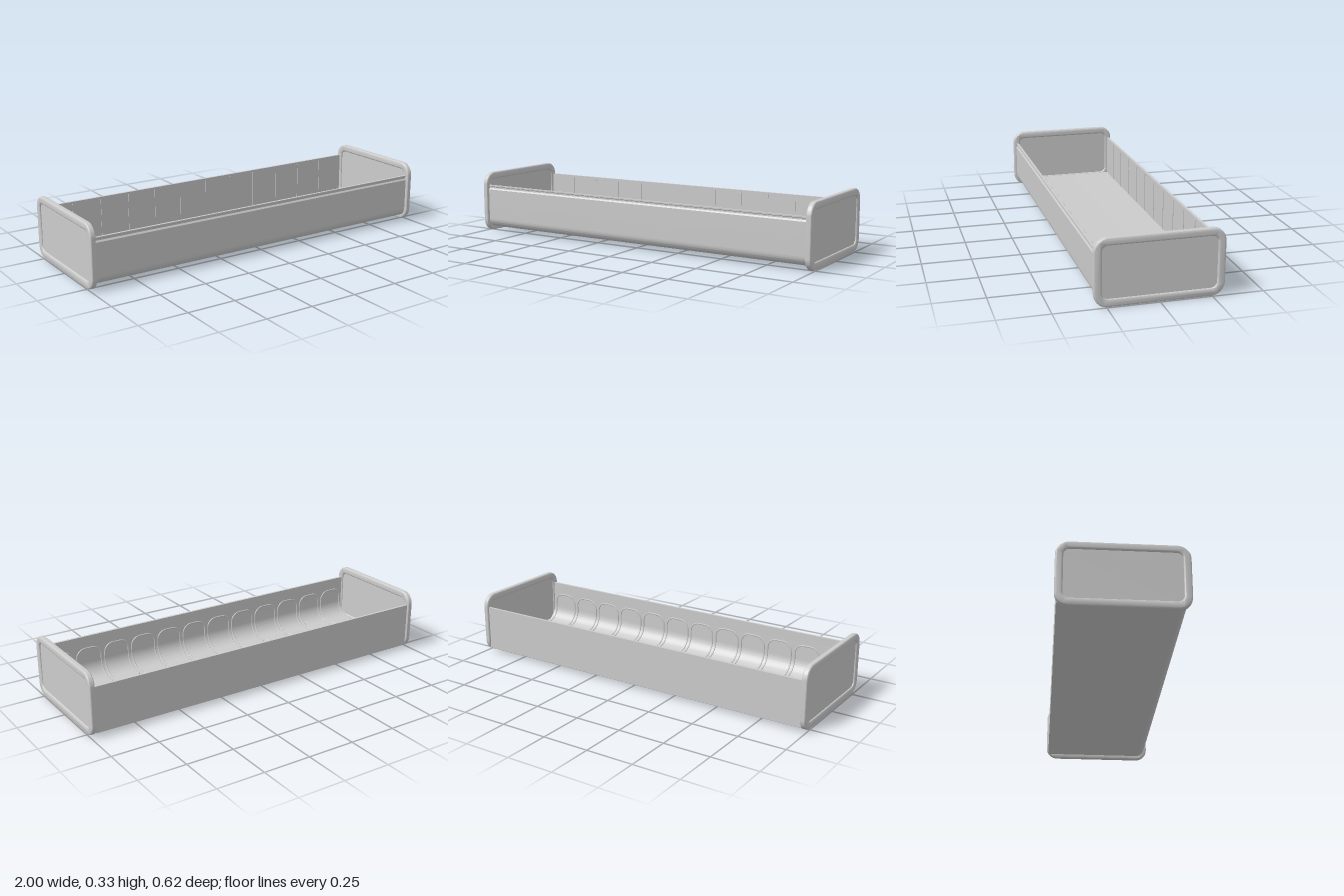
import * as THREE from 'three';
import { toCreasedNormals } from 'three/addons/utils/BufferGeometryUtils.js';

const material = new THREE.MeshStandardMaterial({ color: 0xcccccc });

function addMesh(parent, name, geometry) {
  const mesh = new THREE.Mesh(geometry, material);
  mesh.name = name;
  parent.add(mesh);
  return mesh;
}

// Rounded rectangle centred on x, from y0 to y1
function roundedRect(halfWidth, y0, y1, r, Type = THREE.Shape) {
  const s = new Type();
  s.absarc(halfWidth - r, y0 + r, r, -Math.PI / 2, 0);
  s.absarc(halfWidth - r, y1 - r, r, 0, Math.PI / 2);
  s.absarc(-halfWidth + r, y1 - r, r, Math.PI / 2, Math.PI);
  s.absarc(-halfWidth + r, y0 + r, r, Math.PI, Math.PI * 1.5);
  s.closePath();
  return s;
}

// Extrude a (z, y) section along x, centred on x = 0
function alongX(shape, length, bevel = 0) {
  const g = new THREE.ExtrudeGeometry(shape, {
    depth: length - 2 * bevel, curveSegments: 12, bevelEnabled: bevel > 0,
    bevelThickness: bevel, bevelSize: bevel, bevelOffset: -bevel, bevelSegments: 5,
  });
  g.translate(0, 0, bevel - length / 2);
  g.rotateY(-Math.PI / 2);
  return toCreasedNormals(g, 0.6);
}

const FLOOR = 0.035, WALL = 0.28, FILLET = 0.08;
const ARC = FILLET * Math.PI / 2;

// Point on the inside surface: s runs along the floor, round the fillet, up the wall
function onInside(x, s) {
  if (s < 0) return new THREE.Vector3(x, FLOOR, WALL - FILLET + s);
  if (s > ARC) return new THREE.Vector3(x, FLOOR + FILLET + s - ARC, WALL);
  const a = s / FILLET;
  return new THREE.Vector3(x, FLOOR + FILLET * (1 - Math.cos(a)), WALL - FILLET + FILLET * Math.sin(a));
}

export function createModel() {
  const model = new THREE.Group();

  // Trough: floor, back wall and front wall with a rounded foot and stepped rim
  const t = new THREE.Shape();
  t.moveTo(-0.3, 0.022);
  t.lineTo(0.245, 0.022);
  t.absarc(0.245, 0.072, 0.05, -Math.PI / 2, 0);
  t.lineTo(0.295, 0.237);
  t.lineTo(0.289, 0.245);
  t.lineTo(0.289, 0.252);
  t.lineTo(0.293, 0.255);
  t.lineTo(0.293, 0.262);
  t.lineTo(WALL, 0.262);
  t.lineTo(WALL, FLOOR + FILLET);
  t.absarc(WALL - FILLET, FLOOR + FILLET, FILLET, 0, -Math.PI / 2, true);
  t.lineTo(-0.287, FLOOR);
  t.lineTo(-0.287, 0.262);
  t.lineTo(-0.3, 0.262);
  t.closePath();
  addMesh(model, 'trough', alongX(t, 1.95));

  // End caps: a softly rounded frame around a thinner panel
  for (const side of [-1, 1]) {
    const cap = new THREE.Group();
    cap.name = side > 0 ? 'leftEndCap' : 'rightEndCap';
    cap.position.x = side * 0.985;
    const frame = roundedRect(0.31, 0, 0.33, 0.066);
    frame.holes.push(roundedRect(0.272, 0.04, 0.292, 0.03, THREE.Path));
    addMesh(cap, 'endFrame', alongX(frame, 0.03, 0.009));
    addMesh(cap, 'endPanel', alongX(roundedRect(0.278, 0.034, 0.298, 0.034), 0.014));
    model.add(cap);
  }

  // Row of rounded pocket outlines wrapping from the floor up the front wall
  const pockets = new THREE.Group();
  pockets.name = 'pocketOutlines';
  const outline = roundedRect(0.07, -0.07, ARC + 0.08, 0.05).getSpacedPoints(72).slice(0, -1);
  for (let i = 0; i < 12; i++) {
    const x = (i - 5.5) * 0.161;
    const path = new THREE.CatmullRomCurve3(outline.map(p => onInside(x + p.x, p.y)), true);
    addMesh(pockets, 'pocketOutline', new THREE.TubeGeometry(path, 120, 0.0045, 6, true));
  }
  model.add(pockets);

  // Fine upright divider lines inside the back wall
  const dividers = new THREE.Group();
  dividers.name = 'backDividers';
  for (let i = -5; i <= 5; i++) {
    addMesh(dividers, 'divider', new THREE.BoxGeometry(0.008, 0.215, 0.006))
      .position.set(i * 0.162, 0.1425, -0.287);
  }
  model.add(dividers);

  return model;
}
